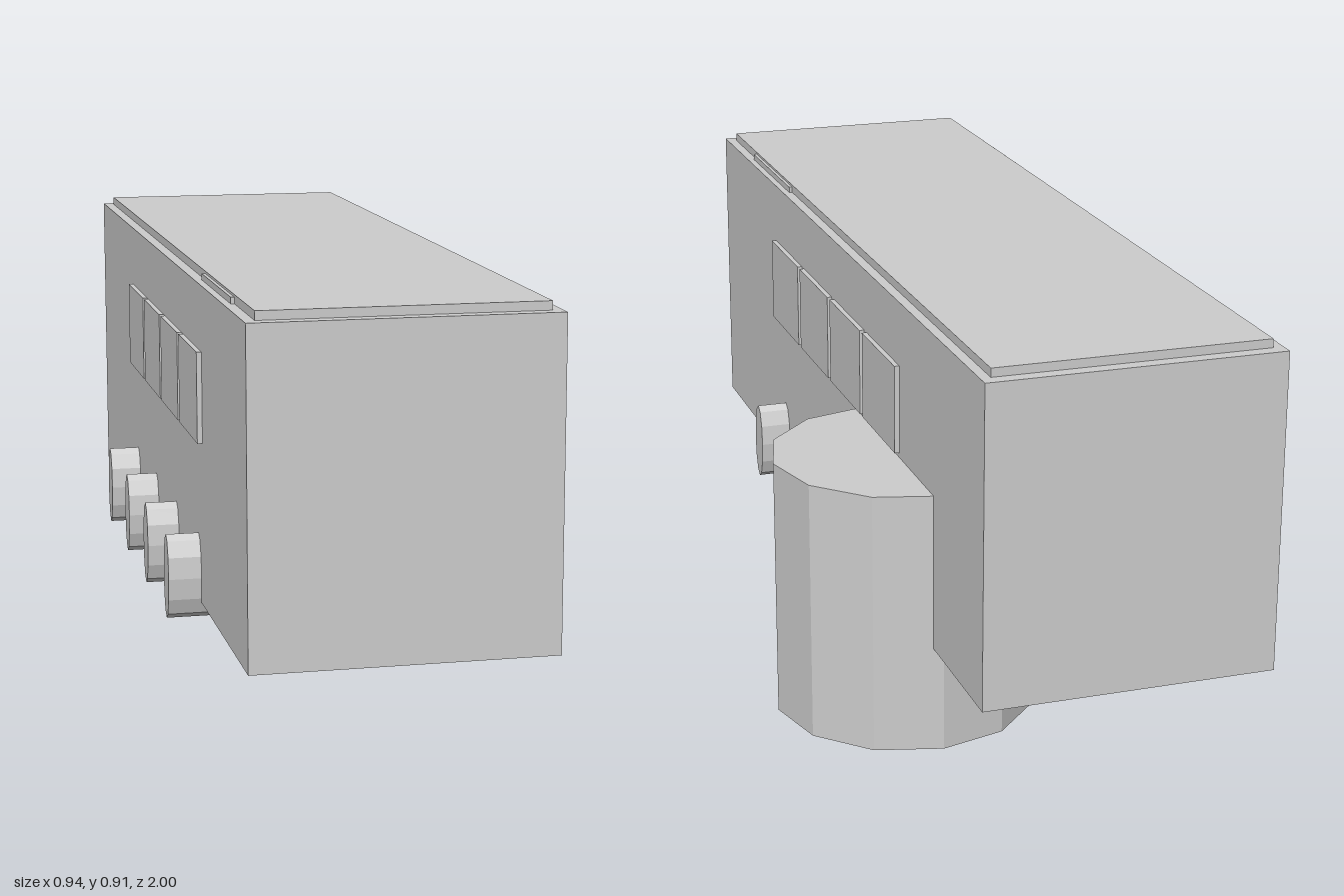
import * as THREE from 'three';

export function createModel() {
  const model = new THREE.Group();
  const grey = new THREE.MeshStandardMaterial({ color: 0xcccccc, flatShading: true });
  grey.name = 'plain grey';

  const add = (name, geometry, x, y, z) => {
    const mesh = new THREE.Mesh(geometry, grey);
    mesh.name = name;
    mesh.position.set(x, y, z);
    model.add(mesh);
    return mesh;
  };

  // Box given by its lower and upper corners
  const addBox = (name, [x0, y0, z0], [x1, y1, z1]) =>
    add(name, new THREE.BoxGeometry(x1 - x0, y1 - y0, z1 - z0),
      (x0 + x1) / 2, (y0 + y1) / 2, (z0 + z1) / 2);

  // Long body, roof panel and the slightly wider, lower roof insert
  addBox('body', [-0.402, 0.225, -1], [0.209, 0.89, 1]);
  addBox('roofPanel', [-0.38, 0.87, -0.972], [0.188, 0.908, 0.972]);
  addBox('roofInsert', [-0.387, 0.87, 0.43], [0.195, 0.903, 0.765]);

  // Twelve-sided drum set into the left side, a vertex pointing at +x
  add('drum', new THREE.CylinderGeometry(0.277, 0.277, 0.556, 12), 0.188, 0.278, -0.428);

  const centreX = -0.0965;
  for (const side of [-1, 1]) {
    const sideName = side > 0 ? 'left' : 'right';
    for (let i = 0; i < 4; i++) {
      // Window panels standing slightly proud of the wall
      add(`${sideName}Window${i + 1}`, new THREE.BoxGeometry(0.024, 0.188, 0.232),
        centreX + side * 0.304, 0.661, 0.392 - i * 0.25);

      // Wheels: cylinders lying along x, squashed along z
      const wheel = new THREE.CylinderGeometry(0.089, 0.089, 0.178, 12);
      wheel.rotateZ(Math.PI / 2);
      wheel.scale(1, 1, 0.37);
      add(`${sideName}Wheel${i + 1}`, wheel,
        centreX + side * 0.285, 0.278, 0.446 - i * 0.292);
    }
  }
  return model;
}
